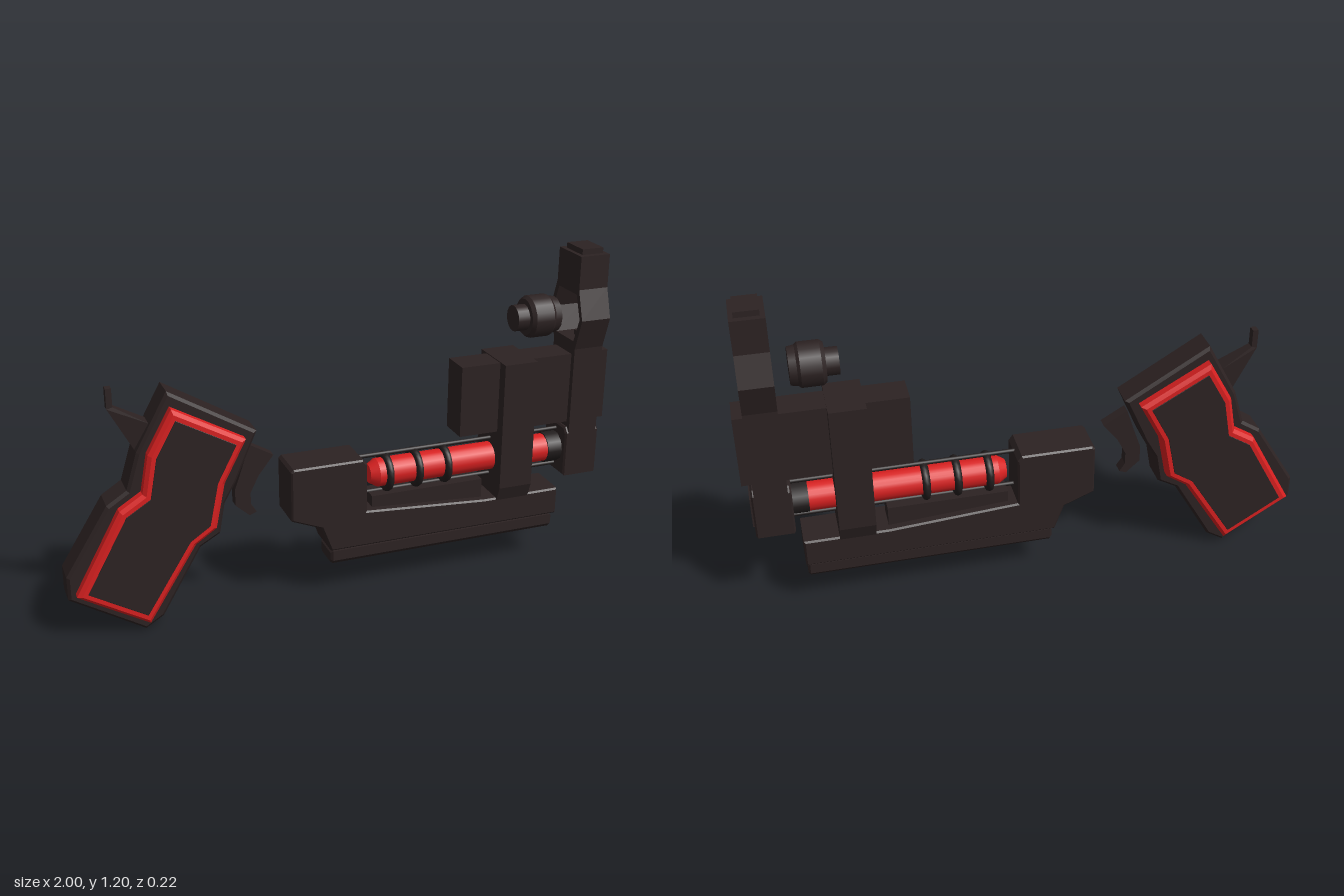
import * as THREE from 'three';

export function createModel() {
  const model = new THREE.Group();
  const mat = (name, color) => {
    const m = new THREE.MeshStandardMaterial({ color });
    m.name = name;
    return m;
  };
  const dark = mat('dark metal', 0x2c2222);
  const black = mat('black metal', 0x211c1c);
  const red = mat('red', 0xd82020);

  const add = (name, geo, material, x = 0, y = 0, z = 0) => {
    const mesh = new THREE.Mesh(geo, material);
    mesh.name = name;
    mesh.position.set(x, y, z);
    model.add(mesh);
    return mesh;
  };
  const toShape = pts => new THREE.Shape(pts.map(p => new THREE.Vector2(...p)));
  // Bevelled plate centred on z = 0, h is half its thickness
  const slab = (shape, h, bevel = 0, inset = 0) => new THREE.ExtrudeGeometry(shape, {
    depth: 2 * (h - bevel), bevelEnabled: bevel > 0, bevelThickness: bevel, bevelSize: bevel,
    bevelOffset: -bevel - inset, bevelSegments: 1,
  }).translate(0, 0, -(h - bevel));
  // Box given by its x and y limits and half depth
  const box = (name, x0, x1, y0, y1, h, material = dark) =>
    add(name, new THREE.BoxGeometry(x1 - x0, y1 - y0, 2 * h), material, (x0 + x1) / 2, (y0 + y1) / 2);
  // Cylinder along x
  const rod = (name, x0, x1, y, r0, r1, material, sides = 20, z = 0) =>
    add(name, new THREE.CylinderGeometry(r1, r0, x1 - x0, sides).rotateZ(-Math.PI / 2), material, (x0 + x1) / 2, y, z);
  // Cross-section in z and y, extruded along x
  const section = (name, shape, x0, x1, bevel = 0) =>
    add(name, slab(shape, (x1 - x0) / 2, bevel).rotateY(Math.PI / 2), dark, (x0 + x1) / 2);
  const mirrored = half => [...half, ...half.slice().reverse().map(([z, y]) => [-z, y])];

  // Grip body
  add('gripBody', slab(toShape([
    [-0.63, 0.86], [-1 + 0.26, 0.66], [-0.78, 0.53], [-0.85, 0.485], [-1, 0.245], [-1, 0.16],
    [-0.745, 0], [-0.68, 0.04], [-0.54, 0.28], [-0.47, 0.32], [-0.45, 0.43], [-0.41, 0.5], [-0.33, 0.68],
  ]), 0.056, 0.01), dark);

  // Red grip panels with dark inlays
  const panel = toShape([
    [-0.625, 0.81], [-0.71, 0.66], [-0.735, 0.525], [-0.815, 0.475], [-0.975, 0.185],
    [-0.735, 0.04], [-0.565, 0.31], [-0.49, 0.36], [-0.457, 0.52], [-0.378, 0.67],
  ]);
  add('gripPanels', slab(panel, 0.096, 0.012), red);
  add('gripInlays', slab(panel, 0.098, 0.001, 0.027), dark);

  // Hammer, thinner toward its tip
  const hammer = slab(toShape([
    [-0.82, 0.88], [-0.82, 0.81], [-0.73, 0.64], [-0.66, 0.74], [-0.69, 0.75], [-0.8, 0.815], [-0.8, 0.88],
  ]), 0.035);
  const hp = hammer.attributes.position;
  for (let i = 0; i < hp.count; i++) {
    hp.setZ(i, hp.getZ(i) * THREE.MathUtils.clamp((hp.getX(i) + 0.8) * 8, 0.4, 1));
  }
  hammer.computeVertexNormals();
  add('hammer', hammer, dark);

  // Trigger
  add('trigger', slab(toShape([
    [-0.35, 0.62], [-0.38, 0.53], [-0.405, 0.46], [-0.405, 0.4], [-0.355, 0.355], [-0.33, 0.365],
    [-0.35, 0.395], [-0.35, 0.44], [-0.32, 0.5], [-0.265, 0.57],
  ]), 0.02), dark);

  // Receiver frame with rear block
  add('frame', slab(toShape([
    [-0.22, 0.33], [-0.11, 0.285], [-0.075, 0.19], [0.82, 0.19], [0.82, 0.293], [0.52, 0.293],
    [0.06, 0.325], [0.06, 0.505], [0.045, 0.525], [-0.21, 0.525], [-0.22, 0.515],
  ]), 0.076, 0.006), dark);
  box('tray', 0.09, 0.52, 0.28, 0.365, 0.045);

  // Under rail with chamfered lower edges
  box('railNeck', -0.06, 0.81, 0.17, 0.195, 0.045, black);
  section('underRail', toShape(mirrored([[0.045, 0.125], [0.058, 0.14], [0.058, 0.178]])), -0.07, 0.815, 0.008);

  // Barrel, rings and guide rods
  rod('barrel', 0.12, 0.8, 0.435, 0.052, 0.052, red);
  rod('barrelTip', 0.09, 0.12, 0.435, 0.034, 0.052, red);
  for (const x of [0.155, 0.268, 0.38]) {
    add('barrelRing', new THREE.TorusGeometry(0.06, 0.014, 8, 24).rotateY(Math.PI / 2), black, x, 0.435);
  }
  for (const y of [0.365, 0.505]) rod('guideRod', 0.05, 0.86, y, 0.008, 0.008, black, 8);
  rod('barrelCollar', 0.785, 0.86, 0.435, 0.058, 0.058, black, 10);

  // Upper box and the strap that clasps it
  box('upperBox', 0.42, 1, 0.55, 0.812, 0.056);
  section('strap', toShape(mirrored([[0.077, 0.285], [0.097, 0.34], [0.097, 0.815]])), 0.568, 0.695);

  // Front post with framed square on its foot
  section('postFoot', toShape(mirrored([[0.076, 0.34], [0.076, 0.51], [0.06, 0.53]])), 0.84, 0.975, 0.006);
  box('post', 0.852, 0.965, 0.5, 0.815, 0.076);
  const frame = toShape(mirrored([[0.055, 0.375], [0.055, 0.49]]));
  frame.holes.push(new THREE.Path(mirrored([[0.04, 0.39], [0.04, 0.475]]).map(p => new THREE.Vector2(...p))));
  section('footFrame', frame, 0.97, 0.981);
  box('footSquare', 0.97, 0.979, 0.4, 0.465, 0.032, black);

  // Hexagonal sight ring and its cap
  const ring = toShape(mirrored([[0.076, 0.81], [0.076, 0.835], [0.112, 0.95], [0.077, 1.055], [0.077, 1.175]]));
  ring.holes.push(new THREE.Path(
    mirrored([[0.062, 0.862], [0.094, 0.95], [0.062, 1.035]]).map(p => new THREE.Vector2(...p))));
  section('sightRing', ring, 0.852, 0.965);
  box('sightCap', 0.868, 0.95, 1.17, 1.195, 0.055);
  box('sightPin', 0.895, 0.92, 0.855, 0.88, 0.01);

  // Floating sight cylinder
  rod('sightStem', 0.638, 0.69, 0.953, 0.047, 0.047, dark, 16);
  rod('sightShoulder', 0.682, 0.695, 0.953, 0.066, 0.076, dark, 16);
  rod('sightBarrel', 0.695, 0.765, 0.953, 0.076, 0.076, dark, 16);
  rod('sightRim', 0.765, 0.775, 0.953, 0.076, 0.068, dark, 16);
  rod('sightLens', 0.775, 0.8, 0.953, 0.068, 0.064, dark, 16);

  return model;
}
